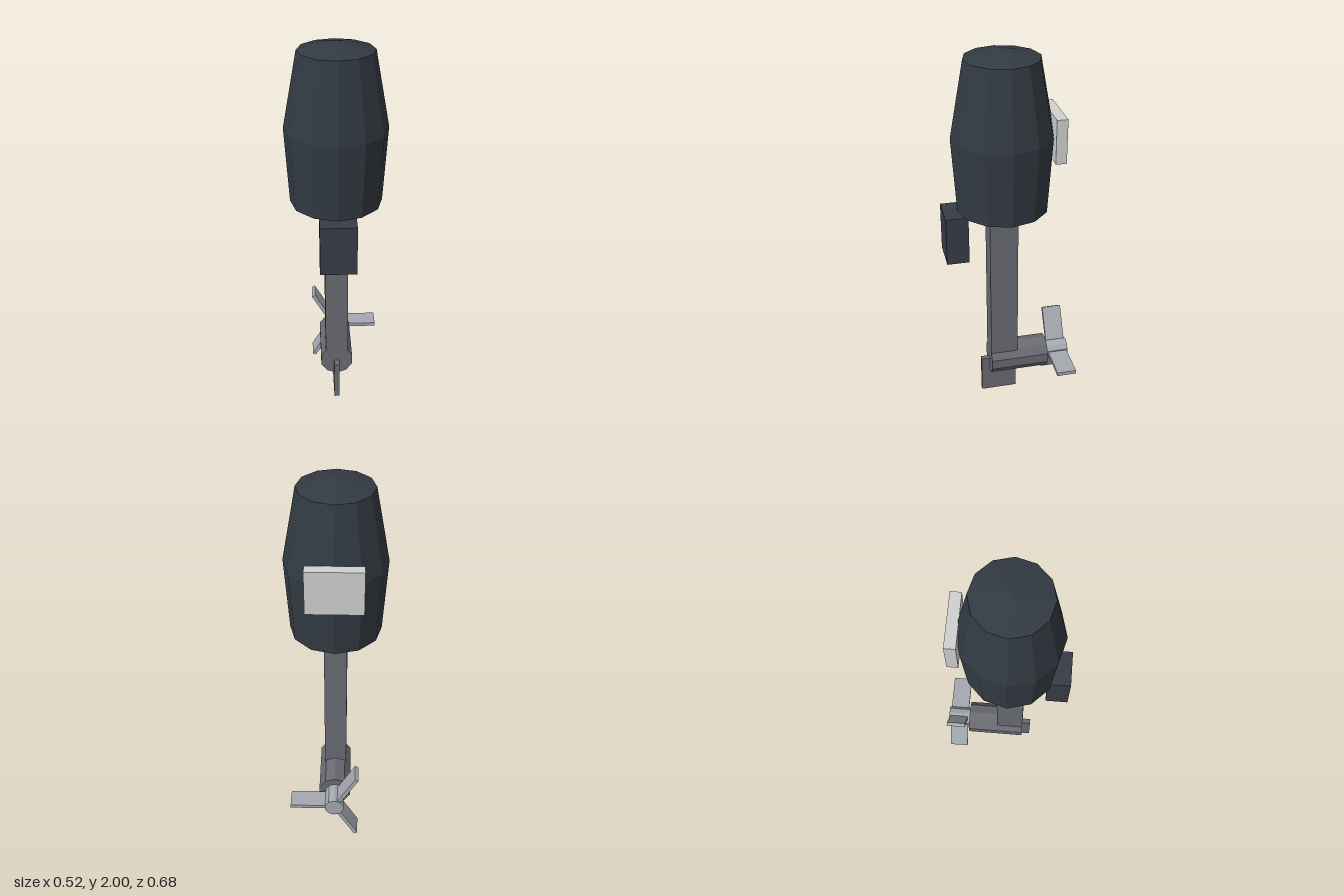
import * as THREE from 'three';

const paint = (name, color, extra = {}) => {
  const m = new THREE.MeshStandardMaterial({ color, flatShading: true, ...extra });
  m.name = name;
  return m;
};

export function createModel() {
  const charcoal = paint('charcoal', 0x323a42);
  const darkSlate = paint('dark slate', 0x373c46);
  const grey = paint('grey', 0x6a6b72);
  const steel = paint('steel', 0xa4a9b0);
  const paleGrey = paint('pale grey', 0xd0d0d0);

  const model = new THREE.Group();
  model.name = 'outboardMotor';

  const add = (name, geometry, material, x, y, z, parent = model) => {
    const mesh = new THREE.Mesh(geometry, material);
    mesh.name = name;
    mesh.position.set(x, y, z);
    parent.add(mesh);
    return mesh;
  };
  // Box given by its full width and its y and z limits, centred on x
  const box = (name, material, w, y0, y1, z0, z1) =>
    add(name, new THREE.BoxGeometry(w, y1 - y0, z1 - z0), material, 0, (y0 + y1) / 2, (z0 + z1) / 2);
  // Ten-sided cylinder lying along z, with an edge at the top
  const shaft = (name, material, r, y, z0, z1) =>
    add(name, new THREE.CylinderGeometry(r, r, z1 - z0, 10).rotateX(Math.PI / 2), material, 0, y, (z0 + z1) / 2);

  // Twelve-sided engine cover with shallow cones at both ends
  const profile = [[0, 1.152], [0.235, 1.175], [0.26, 1.57], [0.189, 1.957], [0, 2]]
    .map(([r, y]) => new THREE.Vector2(r, y));
  add('engineCover', new THREE.LatheGeometry(profile, 12), charcoal, 0, 0, 0.028);
  box('rearPanel', paleGrey, 0.282, 1.445, 1.675, -0.264, -0.208);

  // Mount and lower leg
  box('clampBracket', darkSlate, 0.184, 0.916, 1.175, 0.222, 0.338);
  box('leg', grey, 0.12, 0.22, 1.18, -0.042, 0.107);
  shaft('gearCase', grey, 0.09, 0.219, -0.213, 0.107);
  box('skeg', grey, 0.028, 0, 0.216, -0.042, 0.154);

  // Three-bladed propeller
  shaft('propellerHub', steel, 0.053, 0.217, -0.339, -0.205);
  for (let i = 0; i < 3; i++) {
    const arm = new THREE.Group();
    arm.name = 'propellerBlade' + (i + 1);
    arm.position.set(0, 0.217, -0.28);
    arm.rotation.z = (i * Math.PI * 2) / 3;
    add('blade', new THREE.BoxGeometry(0.2, 0.021, 0.106), steel, 0.14, 0, 0, arm);
    model.add(arm);
  }
  return model;
}
